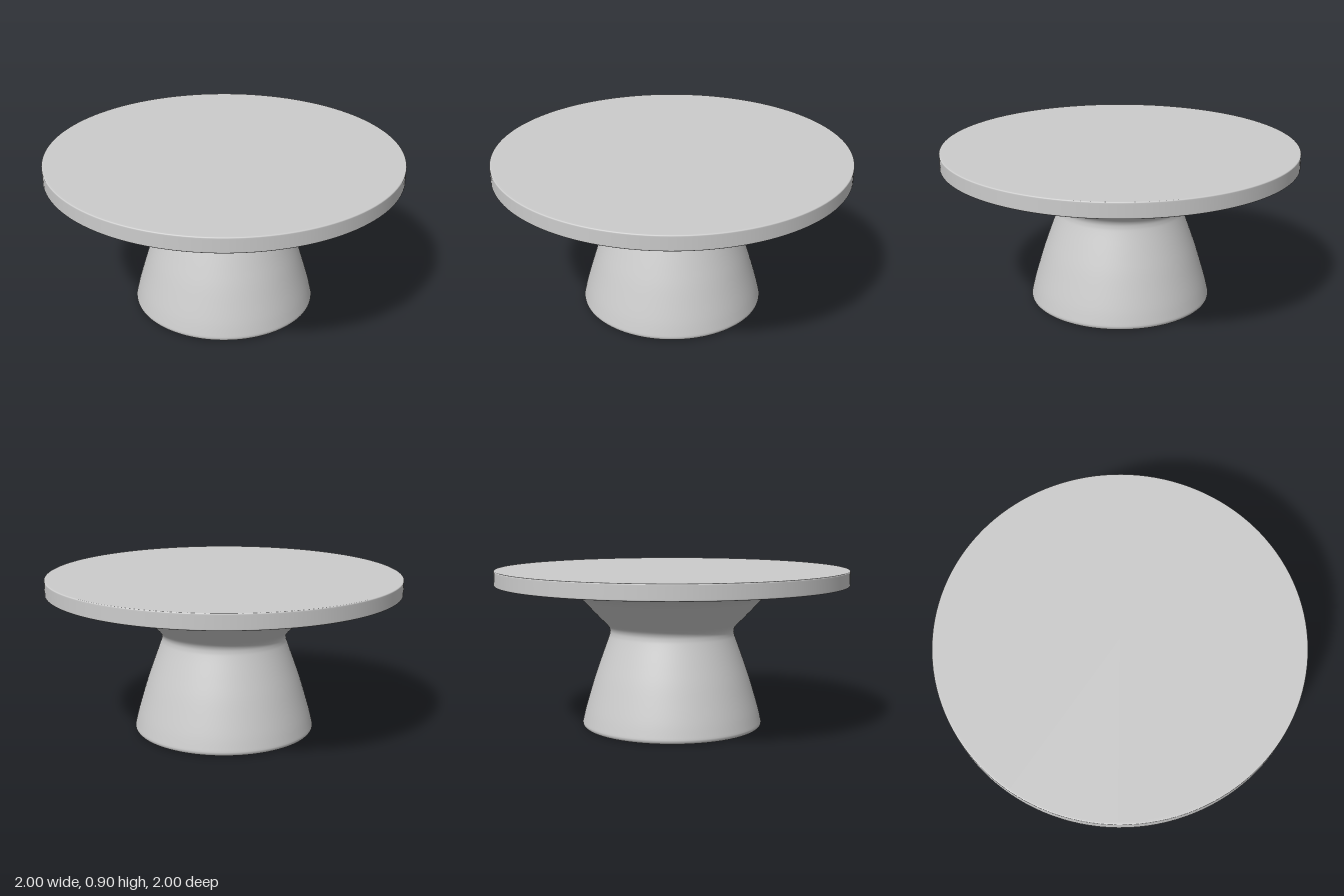
import * as THREE from 'three';

const SEGMENTS = 128;
const v = (x, y) => new THREE.Vector2(x, y);

// Quarter-round corner, swept between two angles in degrees
function corner(cx, cy, r, from, to, steps = 5) {
  return Array.from({ length: steps + 1 }, (_, i) => {
    const a = THREE.MathUtils.degToRad(from + ((to - from) * i) / steps);
    return v(cx + r * Math.cos(a), cy + r * Math.sin(a));
  });
}

function turned(name, profile, material) {
  const mesh = new THREE.Mesh(new THREE.LatheGeometry(profile, SEGMENTS), material);
  mesh.name = name;
  return mesh;
}

export function createModel() {
  const group = new THREE.Group();
  group.name = 'pedestalTable';
  const stone = new THREE.MeshStandardMaterial({ color: 0xcccccc });
  stone.name = 'pale grey';

  // Round top with slightly eased edges; extra points keep the faces flat
  const r = 0.006, low = 0.815, high = 0.9;
  group.add(turned('tableTop', [
    v(0, low), v(0.985, low),
    ...corner(1 - r, low + r, r, -90, 0),
    v(1, low + 0.012), v(1, high - 0.012),
    ...corner(1 - r, high - r, r, 0, 90),
    v(0.985, high), v(0, high),
  ], stone));

  // Tapered foot, tight waist and flared neck as one turned profile
  const side = new THREE.SplineCurve([
    v(0.515, 0.025), v(0.497, 0.1), v(0.468, 0.2), v(0.437, 0.3), v(0.402, 0.4),
    v(0.366, 0.5), v(0.356, 0.535), v(0.357, 0.56), v(0.372, 0.585),
    v(0.412, 0.625), v(0.464, 0.68), v(0.515, 0.732), v(0.565, 0.767),
    v(0.62, 0.794), v(0.68, 0.81), v(0.74, 0.816),
  ]).getPoints(75);
  group.add(turned('pedestal', [
    v(0, 0), v(0.48, 0),
    ...corner(0.495, 0.02, 0.02, -90, 0),
    ...side,
  ], stone));

  return group;
}
